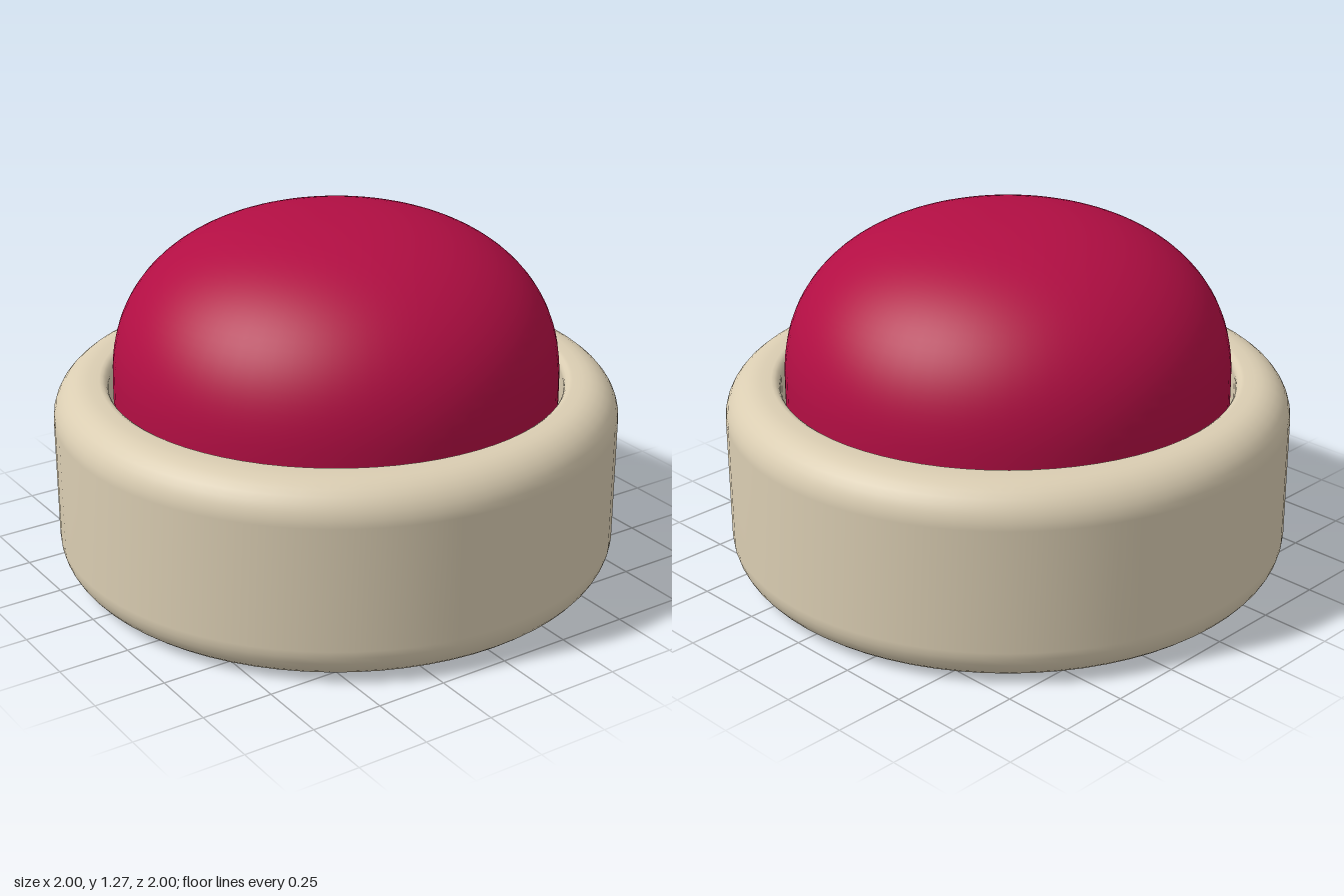
import * as THREE from 'three';

const SEGMENTS = 72;

// Appends a quarter-round corner to a lathe profile.
function addCorner(points, cx, cy, r, startDeg, endDeg, steps = 8) {
  for (let i = 0; i <= steps; i++) {
    const a = THREE.MathUtils.degToRad(startDeg + ((endDeg - startDeg) * i) / steps);
    points.push(new THREE.Vector2(cx + r * Math.cos(a), cy + r * Math.sin(a)));
  }
}

function lathePart(name, points, material) {
  const mesh = new THREE.Mesh(new THREE.LatheGeometry(points, SEGMENTS), material);
  mesh.name = name;
  return mesh;
}

export function createModel() {
  const cream = new THREE.MeshStandardMaterial({ color: 0xdacdb2 });
  cream.name = 'cream housing';
  const crimson = new THREE.MeshStandardMaterial({ color: 0xb20e43 });
  crimson.name = 'crimson button';

  const group = new THREE.Group();
  group.name = 'pushButton';

  // Round housing: flat base, soft outer edges and a well for the button
  const housing = [new THREE.Vector2(0, 0.005)];
  addCorner(housing, 0.87, 0.135, 0.13, -90, 0);
  addCorner(housing, 0.87, 0.573, 0.13, 0, 90);
  addCorner(housing, 0.835, 0.673, 0.03, 90, 180, 4);
  housing.push(new THREE.Vector2(0.805, 0.5), new THREE.Vector2(0.805, 0.5), new THREE.Vector2(0, 0.5));
  group.add(lathePart('housing', housing, cream));

  // Button: straight skirt rising from the well into a full, flattened dome
  const button = [new THREE.Vector2(0.788, 0.5)];
  const power = 2 / 2.32;
  for (let i = 0; i <= 28; i++) {
    const a = (i / 28) * Math.PI / 2;
    const c = i === 28 ? 0 : Math.cos(a);
    button.push(new THREE.Vector2(0.788 * c ** power, 0.69 + 0.588 * Math.sin(a) ** power));
  }
  group.add(lathePart('buttonDome', button, crimson));

  return group;
}
